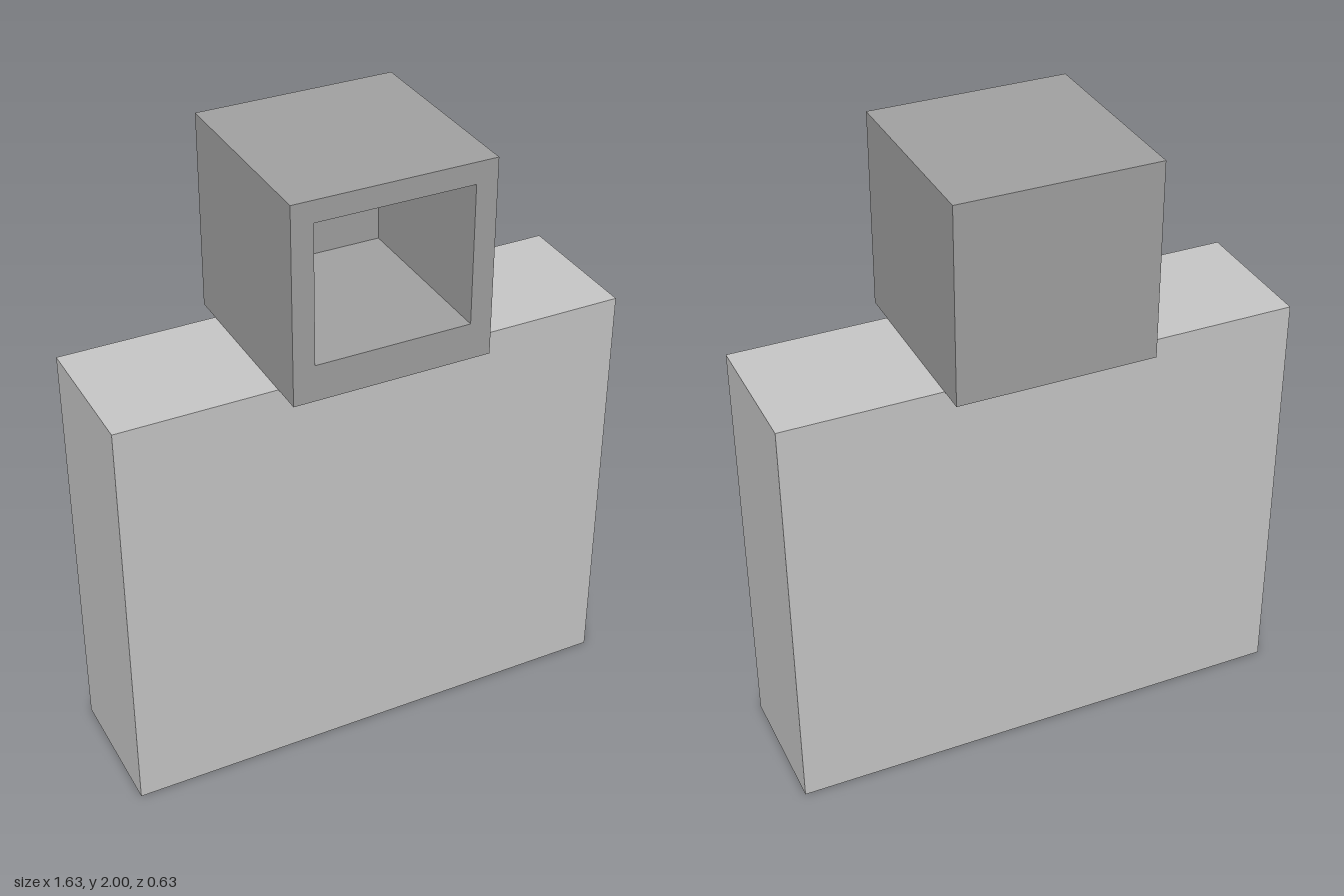
import * as THREE from 'three';

const stone = new THREE.MeshStandardMaterial({ color: 0xa2a2a2 });
stone.name = 'mid grey';
const pale = new THREE.MeshStandardMaterial({ color: 0xc8c8c8 });
pale.name = 'light grey';

function addMesh(parent, name, geometry, material, x, y, z) {
  const mesh = new THREE.Mesh(geometry, material);
  mesh.name = name;
  mesh.position.set(x, y, z);
  parent.add(mesh);
  return mesh;
}

// Rectangle outline centred on (0, cy)
function rectangle(target, w, h, cy = 0) {
  target.moveTo(-w / 2, cy - h / 2);
  target.lineTo(w / 2, cy - h / 2);
  target.lineTo(w / 2, cy + h / 2);
  target.lineTo(-w / 2, cy + h / 2);
  target.closePath();
  return target;
}

export function createModel() {
  const model = new THREE.Group();
  model.name = 'blockFigure';

  // Slab body, set slightly towards the back
  const bodyHeight = 1.37;
  addMesh(model, 'body', new THREE.BoxGeometry(1.634, bodyHeight, 0.445), pale, 0, bodyHeight / 2, -0.007);

  // Cube head, hollow and open at the front
  const size = 0.63, backThickness = 0.06;
  const head = new THREE.Group();
  head.name = 'head';
  head.position.y = bodyHeight + size / 2;
  model.add(head);

  const frame = rectangle(new THREE.Shape(), size, size);
  frame.holes.push(rectangle(new THREE.Path(), 0.494, 0.444, 0.025));
  const shell = new THREE.ExtrudeGeometry(frame, { depth: size - backThickness, bevelEnabled: false });
  addMesh(head, 'headShell', shell, stone, 0, 0, -size / 2 + backThickness);

  // Back wall closing the hollow
  addMesh(head, 'headBack', new THREE.BoxGeometry(size, size, backThickness), stone,
    0, 0, (backThickness - size) / 2);

  return model;
}
